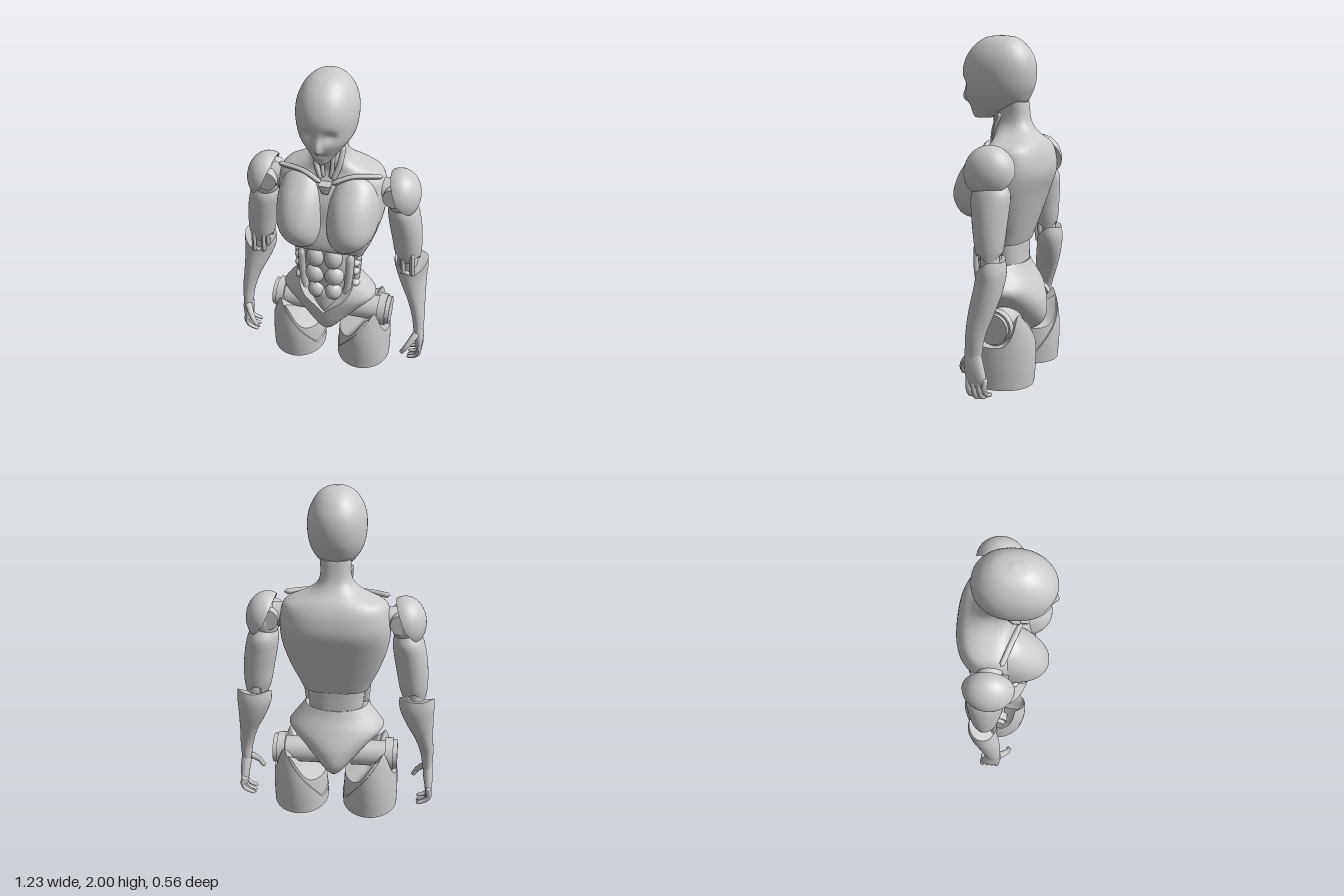
import * as THREE from 'three';

const mat = new THREE.MeshStandardMaterial({ color: 0xcccccc });
const thinMat = new THREE.MeshStandardMaterial({ color: 0xcccccc, side: THREE.DoubleSide });
const V = (x, y, z) => new THREE.Vector3(x, y, z);
const bump = (d, w) => Math.exp(-((d / w) ** 2));

// Smooth interpolation of section rows (sorted by rising y)
function sample(rows, y) {
  const last = rows.length - 1;
  let i = 0;
  while (i < last - 1 && y > rows[i + 1][0]) i++;
  const a = rows[i], b = rows[i + 1], p = rows[Math.max(i - 1, 0)], q = rows[Math.min(i + 2, last)];
  const h = b[0] - a[0], t = Math.min(1, Math.max(0, (y - a[0]) / h));
  return a.map((av, k) => {
    const ma = ((b[k] - p[k]) / (b[0] - p[0])) * h, mb = ((q[k] - av) / (q[0] - a[0])) * h;
    return av + t * t * (3 - 2 * t) * (b[k] - av) + t * (1 - t) * ((1 - t) * ma - t * mb);
  });
}

// Closed body from sections [y, centreX, centreZ, radiusX, radiusFront, radiusBack].
// top/bottom give the edge height by angle (0 = outer side, PI/2 = front).
function loft(rows, { top, bottom, n = 2, seg = 56, steps = 40, shape } = {}) {
  const pos = [], idx = [];
  const y0 = rows[0][0], y1 = rows[rows.length - 1][0];
  const pow = (c) => Math.sign(c) * Math.abs(c) ** (2 / n);
  for (let i = 0; i <= steps; i++) {
    const v = 0.5 - 0.5 * Math.cos((Math.PI * i) / steps);
    for (let j = 0; j < seg; j++) {
      const a = -Math.PI + (j / seg) * 2 * Math.PI;
      const lo = bottom ? bottom(a) : y0, hi = top ? top(a) : y1;
      const y = lo + (hi - lo) * v;
      const [, cx, cz, rx, f, b] = sample(rows, y);
      const s = pow(Math.sin(a));
      const p = V(cx + Math.max(rx, 0) * pow(Math.cos(a)), y, cz + s * Math.max(s > 0 ? f : b, 0));
      if (shape) shape(p);
      pos.push(p.x, p.y, p.z);
      if (i < steps) {
        const k = i * seg + j, m = i * seg + ((j + 1) % seg);
        idx.push(k, k + seg, m, m, k + seg, m + seg);
      }
    }
  }
  // Caps with their own vertices keep the rims sharp
  for (const row of [0, steps]) {
    const start = pos.length / 3, c = V(0, 0, 0);
    for (let j = 0; j < seg; j++) {
      const p = V().fromArray(pos, (row * seg + j) * 3);
      c.addScaledVector(p, 1 / seg);
      pos.push(p.x, p.y, p.z);
    }
    pos.push(c.x, c.y, c.z);
    for (let j = 0; j < seg; j++) {
      const k = start + j, m = start + ((j + 1) % seg);
      row ? idx.push(start + seg, m, k) : idx.push(start + seg, k, m);
    }
  }
  const g = new THREE.BufferGeometry();
  g.setAttribute('position', new THREE.Float32BufferAttribute(pos, 3));
  g.setIndex(idx);
  g.computeVertexNormals();
  return g;
}

// Tube whose radius goes from r to r * end, closed at the tip
function taper(points, r, end = 1) {
  const curve = new THREE.CatmullRomCurve3(points), seg = 16, sides = 10;
  const g = new THREE.TubeGeometry(curve, seg, r, sides), p = g.attributes.position;
  for (let i = 0; i < p.count; i++) {
    const row = Math.floor(i / (sides + 1)), c = curve.getPointAt(row / seg);
    const k = row === seg || row === 0 ? 0 : 1 + (end - 1) * (row / seg);
    const q = V().fromBufferAttribute(p, i).sub(c).multiplyScalar(k).add(c);
    p.setXYZ(i, q.x, q.y, q.z);
  }
  g.computeVertexNormals();
  return g;
}

const ball = (x, y, z, rx, ry, rz) => new THREE.SphereGeometry(1, 28, 20).scale(rx, ry, rz).translate(x, y, z);
const rodX = (x0, x1, y, z, r) =>
  new THREE.CylinderGeometry(r, r, x1 - x0, 36).rotateZ(Math.PI / 2).translate((x0 + x1) / 2, y, z);

export function createModel() {
  const model = new THREE.Group();
  const add = (name, geo, m = mat) => {
    const mesh = new THREE.Mesh(geo, m);
    mesh.name = name;
    model.add(mesh);
  };
  // Adds the left part and its mirror image
  const pair = (name, geo, m = mat) => {
    add(name + 'Left', geo, m);
    const g = geo.clone().scale(-1, 1, 1);
    g.index.array.reverse();
    add(name + 'Right', g, m);
  };

  // Head with smooth mask face
  add('head', loft([
    [1.525, 0, 0.15, 0.03, 0.05, 0.05], [1.54, 0, 0.12, 0.05, 0.09, 0.1], [1.57, 0, 0.06, 0.082, 0.16, 0.12],
    [1.61, 0, 0.04, 0.115, 0.195, 0.155], [1.66, 0, 0.04, 0.147, 0.212, 0.185], [1.72, 0, 0.04, 0.163, 0.218, 0.208],
    [1.8, 0, 0.04, 0.168, 0.225, 0.216], [1.87, 0, 0.04, 0.157, 0.205, 0.203], [1.93, 0, 0.04, 0.129, 0.165, 0.168],
    [1.97, 0, 0.04, 0.094, 0.115, 0.125], [1.99, 0, 0.04, 0.055, 0.07, 0.08], [2, 0, 0.04, 0, 0, 0],
  ], {
    seg: 120, steps: 84, n: 2.15, shape: (p) => {
      if (p.z < 0.1) return;
      const x = Math.abs(p.x);
      p.z += 0.032 * bump(x, 0.02) * (p.y > 1.635 ? bump(p.y - 1.635, 0.06) : bump(p.y - 1.635, 0.02));
      p.z -= 0.022 * bump(x - 0.06, 0.035) * bump(p.y - 1.715, 0.032);
      p.z -= 0.008 * bump(x, 0.04) * bump(p.y - 1.592, 0.01);
    },
  }));

  // Neck, back and rib shell in one piece, with an arched lower rim
  add('torsoShell', loft([
    [0.79, 0, -0.02, 0.195, 0.1, 0.11], [0.86, 0, -0.02, 0.225, 0.15, 0.135], [0.95, 0, -0.03, 0.265, 0.21, 0.155],
    [1.1, 0, -0.05, 0.31, 0.2, 0.185], [1.22, 0, -0.06, 0.322, 0.19, 0.215], [1.32, 0, -0.06, 0.312, 0.15, 0.207],
    [1.375, 0, -0.07, 0.285, 0.13, 0.175], [1.405, 0, -0.07, 0.22, 0.12, 0.157], [1.44, 0, -0.06, 0.14, 0.115, 0.13],
    [1.5, 0, -0.05, 0.092, 0.11, 0.1], [1.62, 0, -0.04, 0.088, 0.09, 0.09],
  ], {
    n: 2.5, steps: 60, seg: 72,
    bottom: (a) => 0.8 + 0.13 * Math.max(0, Math.sin(a)) ** 1.5,
  }));

  // Chest plates, collar bones, throat piece and neck tendons
  pair('chestPlate', loft([
    [0.942, 0.12, 0.06, 0.02, 0.1, 0.02], [0.96, 0.128, 0.05, 0.085, 0.155, 0.05], [1.0, 0.14, 0.04, 0.128, 0.2, 0.05],
    [1.07, 0.149, 0.04, 0.147, 0.225, 0.05], [1.15, 0.152, 0.03, 0.149, 0.222, 0.05], [1.25, 0.152, 0.01, 0.143, 0.19, 0.05],
    [1.33, 0.15, 0, 0.115, 0.13, 0.05], [1.37, 0.145, 0, 0.075, 0.085, 0.04], [1.39, 0.14, 0, 0.02, 0.05, 0.02],
  ], { n: 2.2 }));
  pair('collarBone', taper([V(0.03, 1.345, 0.09), V(0.14, 1.385, 0.055), V(0.31, 1.385, 0.0)], 0.016));
  add('throatPlate', new THREE.CylinderGeometry(0.05, 0.025, 0.06, 4, 1).rotateY(Math.PI / 4).translate(0, 1.32, 0.1));
  pair('neckTendon', taper([V(0.082, 1.56, 0.01), V(0.07, 1.46, 0.05), V(0.035, 1.36, 0.075)], 0.016));
  pair('throatCable', taper([V(0.03, 1.55, 0.06), V(0.03, 1.45, 0.062), V(0.02, 1.37, 0.07)], 0.012));

  // Waist core
  add('waist', loft([
    [0.4, 0, -0.02, 0.07, 0.12, 0.08], [0.5, 0, -0.02, 0.115, 0.135, 0.1], [0.62, 0, -0.02, 0.155, 0.15, 0.105],
    [0.75, 0, -0.02, 0.172, 0.165, 0.105], [0.95, 0, -0.02, 0.185, 0.165, 0.11],
  ], { n: 2.4 }));
  // Belly muscles: three rows and a pointed lower plate
  for (const [y, x, z, rx, ry] of [[0.86, 0.055, 0.13, 0.056, 0.075], [0.725, 0.06, 0.125, 0.06, 0.067], [0.6, 0.052, 0.115, 0.054, 0.06]])
    pair('bellyMuscle', ball(x, y, z, rx, ry, 0.055));
  add('lowerBelly', loft([
    [0.42, 0, 0.1, 0.015, 0.04, 0.04], [0.47, 0, 0.1, 0.048, 0.056, 0.05], [0.54, 0, 0.1, 0.085, 0.058, 0.05],
    [0.6, 0, 0.1, 0.07, 0.05, 0.05], [0.63, 0, 0.1, 0.02, 0.02, 0.02],
  ]));
  pair('flankStrip', taper([V(0.15, 0.88, 0.09), V(0.145, 0.72, 0.1), V(0.125, 0.58, 0.1), V(0.05, 0.45, 0.125)], 0.028, 0.7));
  pair('outerFlankStrip', taper([V(0.185, 0.86, 0.04), V(0.175, 0.7, 0.04), V(0.155, 0.58, 0.05)], 0.026));
  for (const y of [0.8, 0.74, 0.65]) pair('flankKnob', ball(0.178, y, 0.06, 0.026, 0.024, 0.035));

  // Pelvis with V-shaped front rim
  add('pelvis', loft([
    [0.24, 0, 0, 0.03, 0.05, 0.1], [0.27, 0, 0, 0.062, 0.105, 0.19], [0.34, 0, 0, 0.122, 0.145, 0.248],
    [0.44, 0, 0, 0.212, 0.162, 0.248], [0.51, 0, 0, 0.28, 0.166, 0.222], [0.54, 0, 0, 0.295, 0.166, 0.205],
    [0.57, 0, 0, 0.278, 0.165, 0.19], [0.63, 0, 0, 0.232, 0.158, 0.155], [0.68, 0, 0, 0.192, 0.15, 0.135],
  ], { seg: 96, top: (a) => (Math.sin(a) > 0 ? Math.min(0.68, 0.435 + 0.27 * Math.abs(Math.cos(a))) : 0.68) }));

  // Hips and cut-off thighs
  pair('hipAxle', rodX(0.1, 0.35, 0.36, -0.065, 0.08));
  pair('hipDrum', rodX(0.31, 0.36, 0.36, -0.065, 0.102));
  pair('hipDisc', rodX(0.355, 0.386, 0.36, -0.065, 0.09));
  const thigh = (d) => [
    [0, 0.22, -0.05, 0.164 + d, 0.184 + d, 0.194 + d], [0.12, 0.22, -0.05, 0.166 + d, 0.194 + d, 0.204 + d],
    [0.24, 0.222, -0.05, 0.16 + d, 0.194 + d, 0.204 + d], [0.36, 0.228, -0.05, 0.145 + d, 0.175 + d, 0.187 + d],
    [0.46, 0.235, -0.05, 0.125 + d, 0.15 + d, 0.155 + d],
  ];
  const peak = (a, c, w) => bump(Math.abs(a) - c, w);
  pair('thigh', loft(thigh(0), { seg: 96, top: (a) => 0.225 + 0.17 * peak(a, 1.25, 0.55) }));
  pair('thighPanel', loft(thigh(0.007), {
    seg: 96, top: (a) => {
      const t = Math.abs(a);
      return t < 1.05 ? 0.25 + 0.19 * bump(t - 1.05, 0.4) : 0.44 - 0.36 * Math.min(1, (t - 1.05) / 1.5);
    },
  }));

  // Shoulders: axle, ball, front disc and pointed cap
  pair('shoulderAxle', rodX(0.24, 0.4, 1.27, -0.06, 0.07));
  pair('shoulderBall', ball(0.41, 1.24, -0.065, 0.085, 0.12, 0.105));
  pair('shoulderDisc', new THREE.CylinderGeometry(0.058, 0.058, 0.21, 36).rotateX(Math.PI / 2).translate(0.375, 1.27, -0.06));
  for (const s of [1, 0.93])
    pair('shoulderCap', new THREE.SphereGeometry(1, 36, 28, Math.PI - 0.75, Math.PI / 2 + 1.2).rotateX(Math.PI / 2)
      .scale(0.124 * s, 0.153 * s, 0.146).translate(0.398, 1.25, -0.062), thinMat);

  // Arms
  pair('upperArm', loft([
    [0.78, 0.472, -0.085, 0.068, 0.06, 0.06], [0.85, 0.465, -0.085, 0.083, 0.078, 0.08], [0.95, 0.455, -0.083, 0.092, 0.092, 0.093],
    [1.05, 0.44, -0.08, 0.096, 0.104, 0.105], [1.14, 0.425, -0.078, 0.091, 0.108, 0.11], [1.2, 0.42, -0.075, 0.07, 0.085, 0.085],
  ], { bottom: (a) => 0.805 + 0.025 * Math.sin(3 * a) }));
  pair('elbowCore', new THREE.CylinderGeometry(0.05, 0.055, 0.2, 24).translate(0.478, 0.76, -0.095));
  for (const [x, z] of [[0.42, -0.06], [0.44, -0.03], [0.5, -0.025], [0.43, -0.13]])
    pair('elbowStrut', taper([V(x, 0.87, z), V(x + 0.005, 0.78, z), V(x + 0.01, 0.69, z - 0.01)], 0.015));
  pair('forearm', loft([
    [0.26, 0.577, -0.035, 0.03, 0.048, 0.048], [0.38, 0.567, -0.045, 0.041, 0.057, 0.055], [0.5, 0.542, -0.068, 0.057, 0.073, 0.072],
    [0.6, 0.515, -0.09, 0.08, 0.08, 0.08], [0.68, 0.497, -0.105, 0.096, 0.082, 0.08], [0.74, 0.49, -0.108, 0.105, 0.08, 0.08],
    [0.82, 0.488, -0.108, 0.1, 0.068, 0.065],
  ], { top: (a) => 0.745 + 0.045 * Math.cos(a) ** 2 - 0.045 * Math.sin(a) }));

  // Hands with four curled fingers and a thumb
  pair('palm', loft([
    [0.1, 0.587, -0.06, 0.016, 0.058, 0.06], [0.14, 0.588, -0.058, 0.023, 0.06, 0.06], [0.21, 0.583, -0.045, 0.03, 0.058, 0.056],
    [0.29, 0.577, -0.035, 0.028, 0.045, 0.045],
  ], { n: 2.4 }));
  for (let i = 0; i < 4; i++) {
    const z = -0.012 - i * 0.032, k = [0.01, 0, 0.004, 0.02][i];
    pair('finger', taper([V(0.585, 0.16, z), V(0.595, 0.09, z - 0.002), V(0.575, 0.04 + k, z - 0.004), V(0.515, 0.015 + k, z - 0.006)], 0.018, 0.6));
  }
  pair('thumb', taper([V(0.575, 0.26, -0.01), V(0.545, 0.22, 0.03), V(0.515, 0.175, 0.058), V(0.485, 0.125, 0.06)], 0.024, 0.55));

  return model;
}
